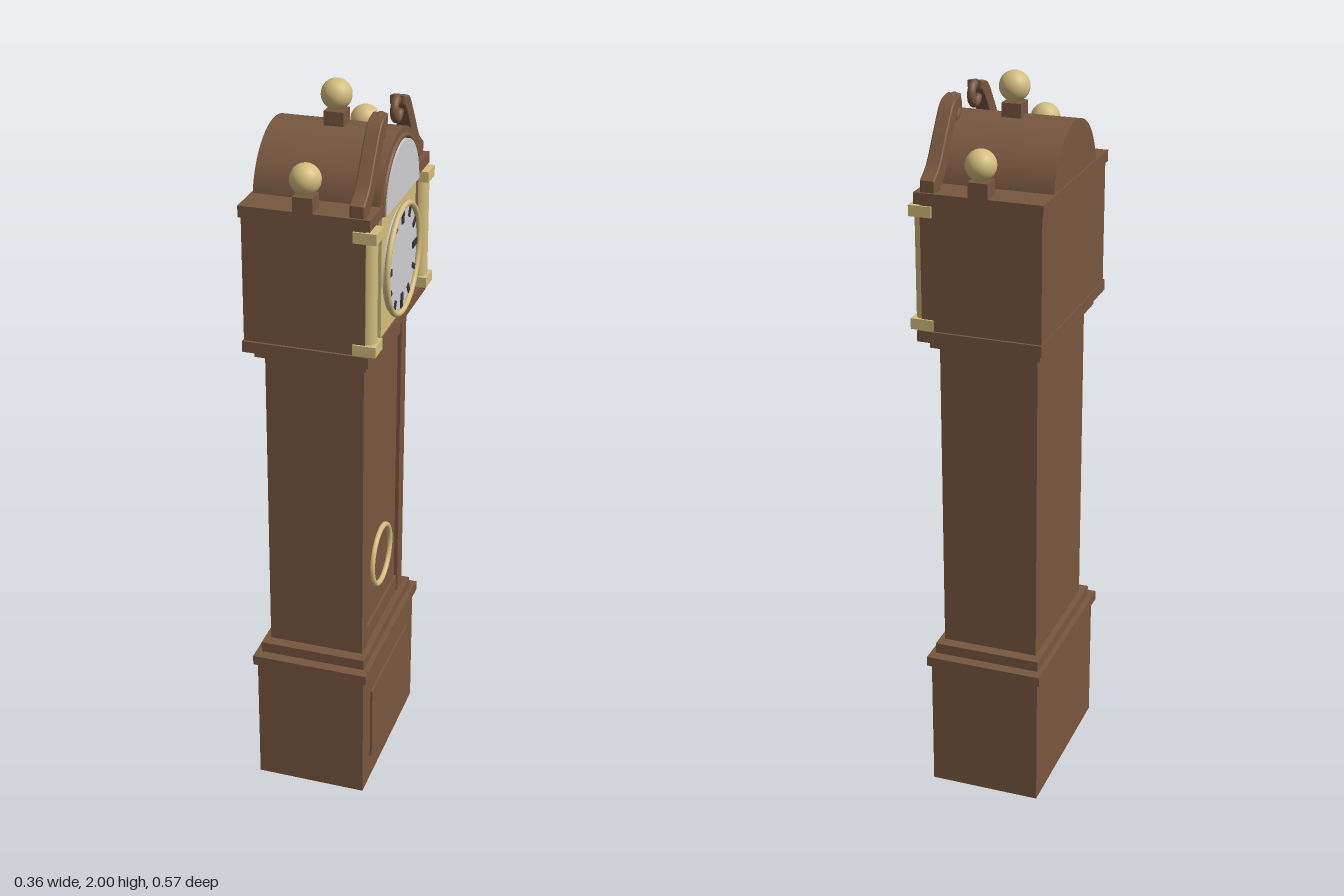
import * as THREE from 'three';

const mat = (name, color) => {
  const m = new THREE.MeshStandardMaterial({ color });
  m.name = name;
  return m;
};

export function createModel() {
  const wood = mat('wood', 0x78573f);
  const brass = mat('brass', 0xd4be7e);
  const silver = mat('silver', 0xcfcfd2);
  const ink = mat('ink', 0x3a3442);

  // The case is built with its dial towards +z, then turned towards +x.
  const clock = new THREE.Group();
  clock.name = 'longcaseClock';

  const add = (name, geometry, material, x = 0, y = 0, z = 0) => {
    const mesh = new THREE.Mesh(geometry, material);
    mesh.name = name;
    mesh.position.set(x, y, z);
    clock.add(mesh);
    return mesh;
  };
  // Box given by half width, centre x, and its y and z ranges
  const box = (name, material, half, y0, y1, z0, z1, x = 0) =>
    add(name, new THREE.BoxGeometry(half * 2, y1 - y0, z1 - z0), material, x, (y0 + y1) / 2, (z0 + z1) / 2);

  // Plinth with raised panel and stepped moulding
  box('plinth', wood, 0.247, 0, 0.38, -0.165, 0.145);
  box('plinthPanel', wood, 0.178, 0.075, 0.3, 0.14, 0.151);
  box('plinthMouldingLower', wood, 0.257, 0.377, 0.405, -0.175, 0.155);
  box('plinthMouldingUpper', wood, 0.227, 0.405, 0.435, -0.16, 0.14);

  // Trunk: carcass, stiles and rails around the sunk door
  box('trunk', wood, 0.195, 0.435, 1.32, -0.143, 0.115);
  for (const s of [-1, 1]) box('trunkStile', wood, 0.0235, 0.435, 1.32, 0.115, 0.125, s * 0.1715);
  box('trunkRailLower', wood, 0.148, 0.435, 0.485, 0.115, 0.122);
  box('trunkRailUpper', wood, 0.148, 1.265, 1.32, 0.115, 0.122);
  add('pendulumWindowRing', new THREE.TorusGeometry(0.085, 0.008, 12, 48), brass, 0, 0.645, 0.119);

  // Hood with its mouldings
  box('hoodMouldingLower', wood, 0.227, 1.32, 1.35, -0.16, 0.14);
  box('hoodMouldingUpper', wood, 0.267, 1.35, 1.38, -0.178, 0.158);
  box('hood', wood, 0.26, 1.38, 1.715, -0.175, 0.147);
  box('cornice', wood, 0.268, 1.715, 1.745, -0.18, 0.16);

  // Barrel roof
  const half = (r) => {
    const shape = new THREE.Shape();
    shape.moveTo(r, 0);
    shape.absarc(0, 0, r, 0, Math.PI, false);
    shape.closePath();
    return shape;
  };
  const extrude = (shape, depth) =>
    new THREE.ExtrudeGeometry(shape, { depth, bevelEnabled: false, curveSegments: 32 });
  add('barrelRoof', extrude(half(0.175), 0.332), wood, 0, 1.715, -0.175);
  add('archMoulding', new THREE.TorusGeometry(0.153, 0.007, 10, 40, Math.PI), wood, 0, 1.715, 0.157);
  add('archPlate', extrude(half(0.148), 0.009), silver, 0, 1.712, 0.157);

  // Dial
  box('dialPlate', brass, 0.153, 1.385, 1.713, 0.147, 0.156);
  const disc = add('dial', new THREE.CylinderGeometry(0.142, 0.142, 0.009, 64), silver, 0, 1.545, 0.1605);
  disc.rotation.x = Math.PI / 2;
  add('dialRing', new THREE.TorusGeometry(0.144, 0.008, 12, 64), brass, 0, 1.545, 0.169);
  for (let i = 0; i < 12; i++) {
    const a = (i * Math.PI) / 6;
    const quarter = i % 3 === 0;
    const len = quarter ? 0.04 : 0.026;
    const r = 0.136 - len / 2;
    const mark = add('hourMark', new THREE.BoxGeometry(quarter ? 0.018 : 0.014, len, 0.004), ink,
      Math.sin(a) * r, 1.545 + Math.cos(a) * r, 0.166);
    mark.rotation.z = -a;
  }

  for (const s of [-1, 1]) {
    // Corner columns with square base and capital
    add('column', new THREE.CylinderGeometry(0.025, 0.025, 0.3, 24), brass, s * 0.233, 1.545, 0.145);
    box('columnBase', brass, 0.031, 1.381, 1.41, 0.115, 0.176, s * 0.234);
    box('columnCapital', brass, 0.031, 1.681, 1.71, 0.115, 0.176, s * 0.234);

    // Swan-neck pediment, an S-curved band ending in a scroll
    const p = (x, y) => new THREE.Vector2(s * x, y);
    const neck = new THREE.Shape();
    neck.moveTo(s * 0.258, 1.746);
    neck.lineTo(s * 0.258, 1.773);
    neck.splineThru([p(0.215, 1.805), p(0.164, 1.878), p(0.12, 1.934), p(0.075, 1.947)]);
    neck.lineTo(s * 0.075, 1.932);
    neck.splineThru([p(0.103, 1.906), p(0.15, 1.838), p(0.197, 1.77), p(0.225, 1.748)]);
    neck.closePath();
    add('swanNeck', new THREE.ExtrudeGeometry(neck, {
      depth: 0.032, bevelThickness: 0.004, bevelSize: 0.004, bevelSegments: 2, curveSegments: 10,
    }), wood, 0, 0, 0.109);
    add('scroll', new THREE.TorusGeometry(0.026, 0.011, 12, 32), wood, s * 0.074, 1.917, 0.125);
  }

  // Ball finials on square blocks
  for (const [x, y] of [[-0.244, 1.74], [0, 1.88], [0.244, 1.74]]) {
    box('finialBlock', wood, 0.026, y, y + 0.045, -0.037, 0.015, x);
    add('finialBall', new THREE.SphereGeometry(0.04, 32, 20), brass, x, y + 0.08 + 0.004, -0.011);
  }

  clock.rotation.y = Math.PI / 2;
  const model = new THREE.Group();
  model.name = 'clock';
  model.add(clock);
  return model;
}
